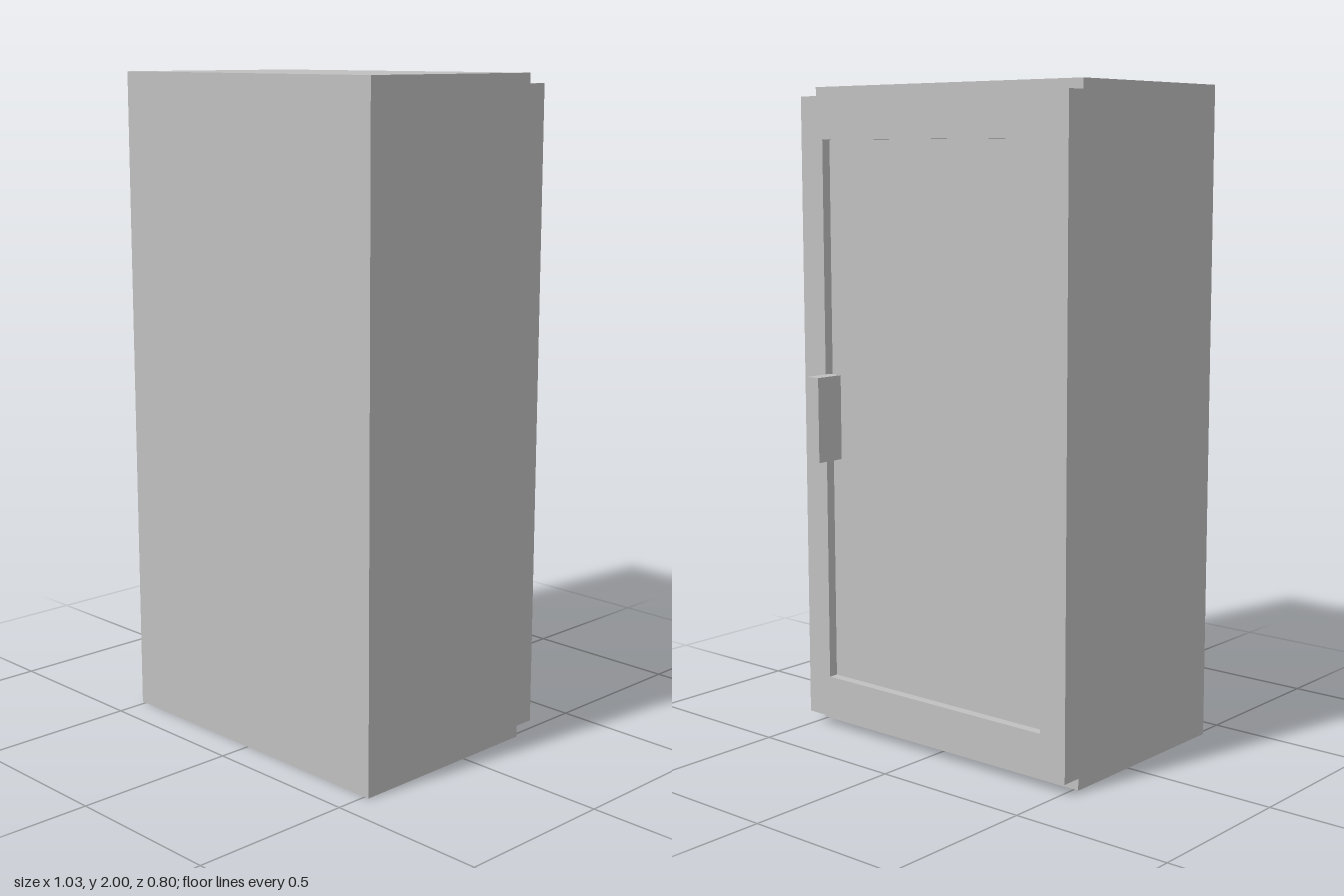
import * as THREE from 'three';

export function createModel() {
  const group = new THREE.Group();
  const grey = new THREE.MeshStandardMaterial({ color: 0xc0c0c0 });
  grey.name = 'light grey';

  const add = (name, geometry) => {
    const mesh = new THREE.Mesh(geometry, grey);
    mesh.name = name;
    group.add(mesh);
  };

  // Box given by its minimum and maximum corners
  const addBox = (name, [x0, y0, z0], [x1, y1, z1]) =>
    add(name, new THREE.BoxGeometry(x1 - x0, y1 - y0, z1 - z0)
      .translate((x0 + x1) / 2, (y0 + y1) / 2, (z0 + z1) / 2));

  const rectangle = (Type, w, y0, y1) => new Type([
    new THREE.Vector2(-w, y0), new THREE.Vector2(w, y0),
    new THREE.Vector2(w, y1), new THREE.Vector2(-w, y1),
  ]);

  // Cabinet body
  addBox('cabinetBody', [-0.515, 0, -0.242], [0.515, 2, 0.4]);

  // Door frame on the -z side, open around the recessed panel
  const frame = rectangle(THREE.Shape, 0.515, 0.035, 1.97);
  frame.holes.push(rectangle(THREE.Path, 0.425, 0.165, 1.84));
  add('doorFrame', new THREE.ExtrudeGeometry(frame, { depth: 0.063, bevelEnabled: false })
    .translate(0, 0, -0.305));

  // Recessed door panel
  addBox('doorPanel', [-0.425, 0.165, -0.275], [0.425, 1.84, -0.242]);

  // Door handle, standing just clear of the recess
  addBox('doorHandle', [0.36, 0.87, -0.4], [0.408, 1.13, -0.305]);

  return group;
}
